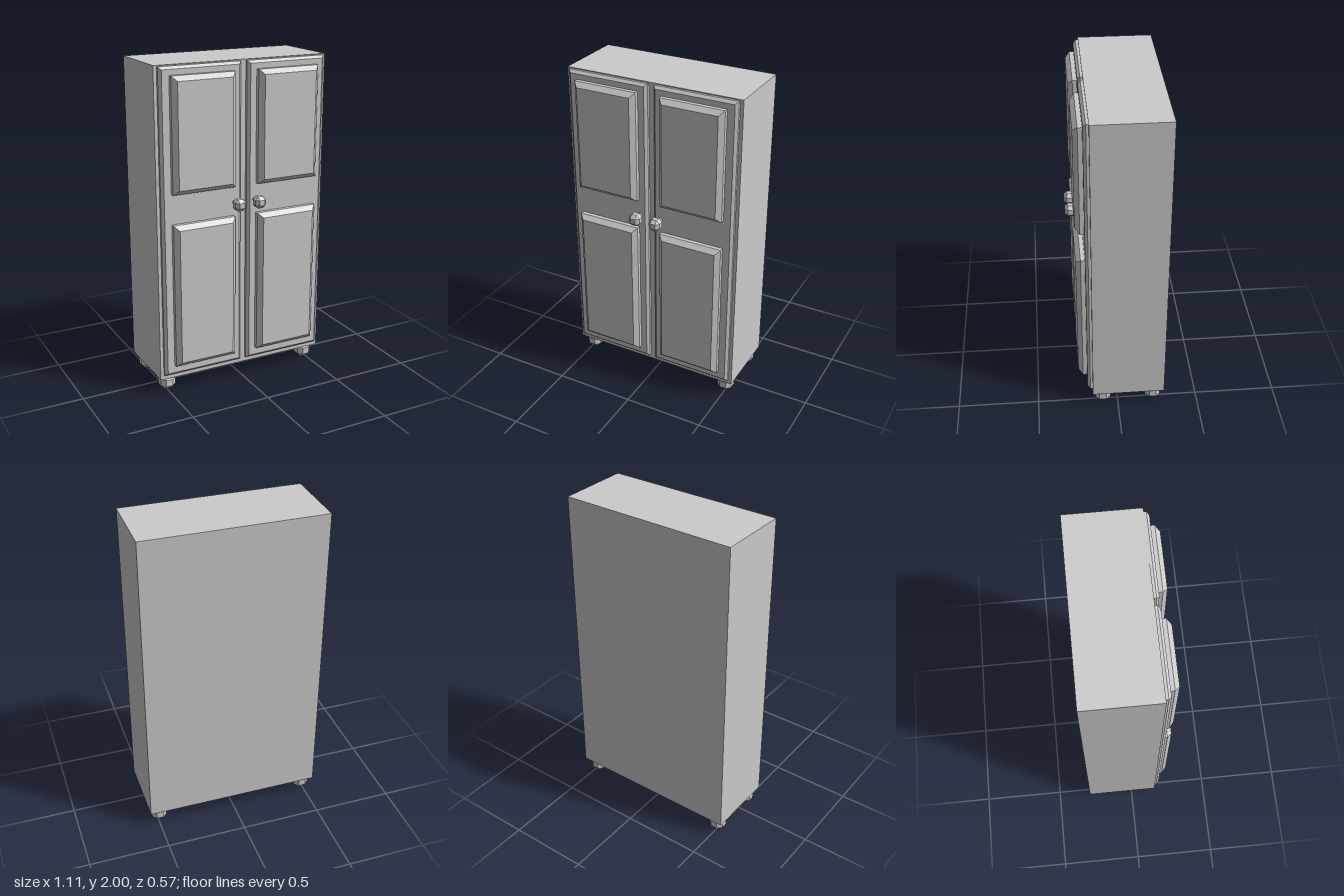
import * as THREE from 'three';
import { ConvexGeometry } from 'three/addons/geometries/ConvexGeometry.js';

const material = new THREE.MeshStandardMaterial({ color: 0xcccccc, flatShading: true });

function addMesh(parent, name, geometry, x, y, z) {
  const mesh = new THREE.Mesh(geometry, material);
  mesh.name = name;
  mesh.position.set(x, y, z);
  parent.add(mesh);
  return mesh;
}

// Slab from z = 0 to z = depth whose front edges are chamfered
function chamferedSlab(width, height, depth, inset, chamferDepth) {
  const geometry = new THREE.BoxGeometry(width, height, depth, 1, 1, 2);
  const p = geometry.attributes.position;
  for (let i = 0; i < p.count; i++) {
    const z = p.getZ(i);
    if (z > depth * 0.25) {
      p.setX(i, p.getX(i) - Math.sign(p.getX(i)) * inset);
      p.setY(i, p.getY(i) - Math.sign(p.getY(i)) * inset);
      p.setZ(i, depth);
    } else {
      p.setZ(i, z < -depth * 0.25 ? 0 : depth - chamferDepth);
    }
  }
  geometry.computeVertexNormals();
  return geometry;
}

// Faceted ball: a cube with all edges and corners cut off
function facetedBall(radius) {
  const a = radius * 0.45;
  const points = [];
  for (const sx of [-1, 1]) for (const sy of [-1, 1]) for (const sz of [-1, 1]) {
    points.push(
      new THREE.Vector3(sx * radius, sy * a, sz * a),
      new THREE.Vector3(sx * a, sy * radius, sz * a),
      new THREE.Vector3(sx * a, sy * a, sz * radius)
    );
  }
  return new ConvexGeometry(points);
}

export function createModel() {
  const wardrobe = new THREE.Group();
  wardrobe.name = 'wardrobe';

  // Cabinet body
  addMesh(wardrobe, 'cabinet', new THREE.BoxGeometry(1.11, 1.91, 0.447), 0, 1.045, -0.0665);

  for (const [side, s] of [['left', 1], ['right', -1]]) {
    // Door with two raised panels
    const door = new THREE.Group();
    door.name = side + 'Door';
    wardrobe.add(door);
    addMesh(door, side + 'DoorSlab', chamferedSlab(0.515, 1.872, 0.031, 0.016, 0.016), s * 0.2775, 1.058, 0.157);
    for (const [name, y0, y1] of [['LowerPanel', 0.19, 1.083], ['UpperPanel', 1.265, 1.945]]) {
      addMesh(door, side + name, chamferedSlab(0.4, y1 - y0, 0.055, 0.028, 0.028), s * 0.275, (y0 + y1) / 2, 0.186);
    }

    // Knob on a short stem
    const stem = addMesh(door, side + 'KnobStem', new THREE.CylinderGeometry(0.014, 0.014, 0.04, 8), s * 0.067, 1.165, 0.2);
    stem.rotation.x = Math.PI / 2;
    addMesh(door, side + 'Knob', facetedBall(0.036), s * 0.067, 1.165, 0.249);

    // Feet
    for (const [end, z] of [['Front', 0.093], ['Back', -0.222]]) {
      addMesh(wardrobe, side + end + 'Foot', facetedBall(0.048), s * 0.49, 0.048, z);
    }
  }
  return wardrobe;
}
